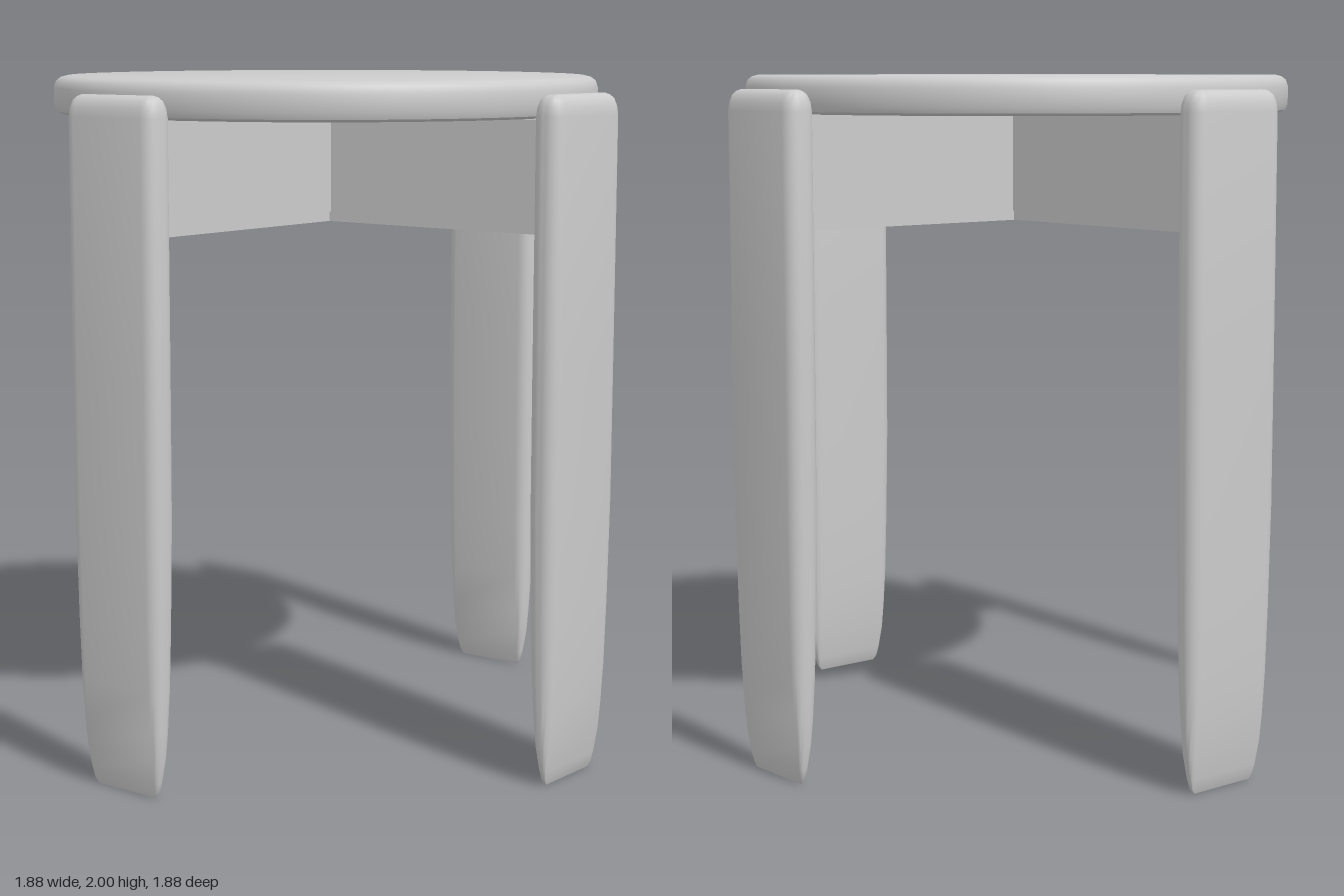
import * as THREE from 'three';
import { toCreasedNormals } from 'three/addons/utils/BufferGeometryUtils.js';

const material = new THREE.MeshStandardMaterial({ color: 0xcccccc });

function addMesh(parent, geometry, name) {
  const mesh = new THREE.Mesh(geometry, material);
  mesh.name = name;
  parent.add(mesh);
  return mesh;
}

// Rounded rectangle outline with half sizes w (x) and t (z).
function roundedOutline(w, t, steps = 5) {
  const r = Math.min(0.04, t * 0.9);
  const points = [];
  for (let corner = 0; corner < 4; corner++) {
    const sx = corner === 0 || corner === 3 ? 1 : -1;
    const sz = corner < 2 ? 1 : -1;
    for (let i = 0; i <= steps; i++) {
      const a = (corner + i / steps) * Math.PI / 2;
      points.push([sx * (w - r) + r * Math.cos(a), sz * (t - r) + r * Math.sin(a)]);
    }
  }
  return points;
}

// Stacks outlines [y, half width, half thickness] and closes both ends.
function loft(sections) {
  const positions = [], index = [];
  let n = 0;
  for (const [y, w, t] of sections) {
    const ring = roundedOutline(w, t);
    n = ring.length;
    for (const [x, z] of ring) positions.push(x, y, z);
  }
  for (let s = 0; s < sections.length - 1; s++) {
    for (let i = 0; i < n; i++) {
      const a = s * n + i, b = s * n + (i + 1) % n;
      index.push(a, a + n, b, b, a + n, b + n);
    }
  }
  const last = (sections.length - 1) * n;
  for (let i = 1; i < n - 1; i++) {
    index.push(0, i, i + 1);
    index.push(last, last + i + 1, last + i);
  }
  const geometry = new THREE.BufferGeometry();
  geometry.setAttribute('position', new THREE.Float32BufferAttribute(positions, 3));
  geometry.setIndex(index);
  return toCreasedNormals(geometry, 0.6);
}

// Beam side profile, extruded across its width.
function beamGeometry(points, width) {
  const shape = new THREE.Shape(points.map(([x, y]) => new THREE.Vector2(x, y)));
  const geometry = new THREE.ExtrudeGeometry(shape, { depth: width, bevelEnabled: false });
  return geometry.translate(0, 0, -width / 2);
}

export function createModel() {
  const group = new THREE.Group();
  group.name = 'stool';

  // Round seat with softened rim
  const rim = [[0, 1.89], [0.79, 1.89], [0.803, 1.897], [0.81, 1.915], [0.81, 1.965],
    [0.803, 1.985], [0.79, 1.995], [0.77, 2], [0, 2]];
  const seat = new THREE.LatheGeometry(rim.map(([x, y]) => new THREE.Vector2(x, y)), 96);
  addMesh(group, toCreasedNormals(seat, 0.6), 'seat');

  // Plank legs, tapering to a wedge at the foot
  const legGeometry = loft([
    [0.005, 0.11, 0.003], [0.02, 0.122, 0.007], [0.05, 0.13, 0.013], [0.12, 0.142, 0.023],
    [0.2, 0.148, 0.03], [0.32, 0.154, 0.037], [0.5, 0.159, 0.042], [0.8, 0.164, 0.046],
    [1.2, 0.165, 0.046], [1.9, 0.165, 0.046], [1.925, 0.162, 0.043], [1.945, 0.154, 0.035],
    [1.955, 0.143, 0.024], [1.96, 0.13, 0.011],
  ]);
  for (let i = 0; i < 4; i++) {
    const pivot = new THREE.Group();
    pivot.name = 'leg' + (i + 1);
    pivot.rotation.y = i * Math.PI / 2;
    addMesh(pivot, legGeometry, 'legPlank').position.z = 0.895;
    group.add(pivot);
  }

  // Crossed beams: arched cheeks around a straight core
  const arched = beamGeometry([[-0.87, 1.57], [-0.42, 1.598], [0, 1.602], [0.42, 1.598],
    [0.87, 1.57], [0.87, 1.89], [-0.87, 1.89]], 0.2);
  const core = beamGeometry([[-0.87, 1.57], [0.87, 1.57], [0.87, 1.88], [-0.87, 1.88]], 0.14);
  for (let i = 0; i < 2; i++) {
    const beam = new THREE.Group();
    beam.name = 'crossBeam' + (i + 1);
    beam.rotation.y = i * Math.PI / 2;
    addMesh(beam, arched, 'beamCheeks');
    addMesh(beam, core, 'beamCore');
    group.add(beam);
  }
  return group;
}
